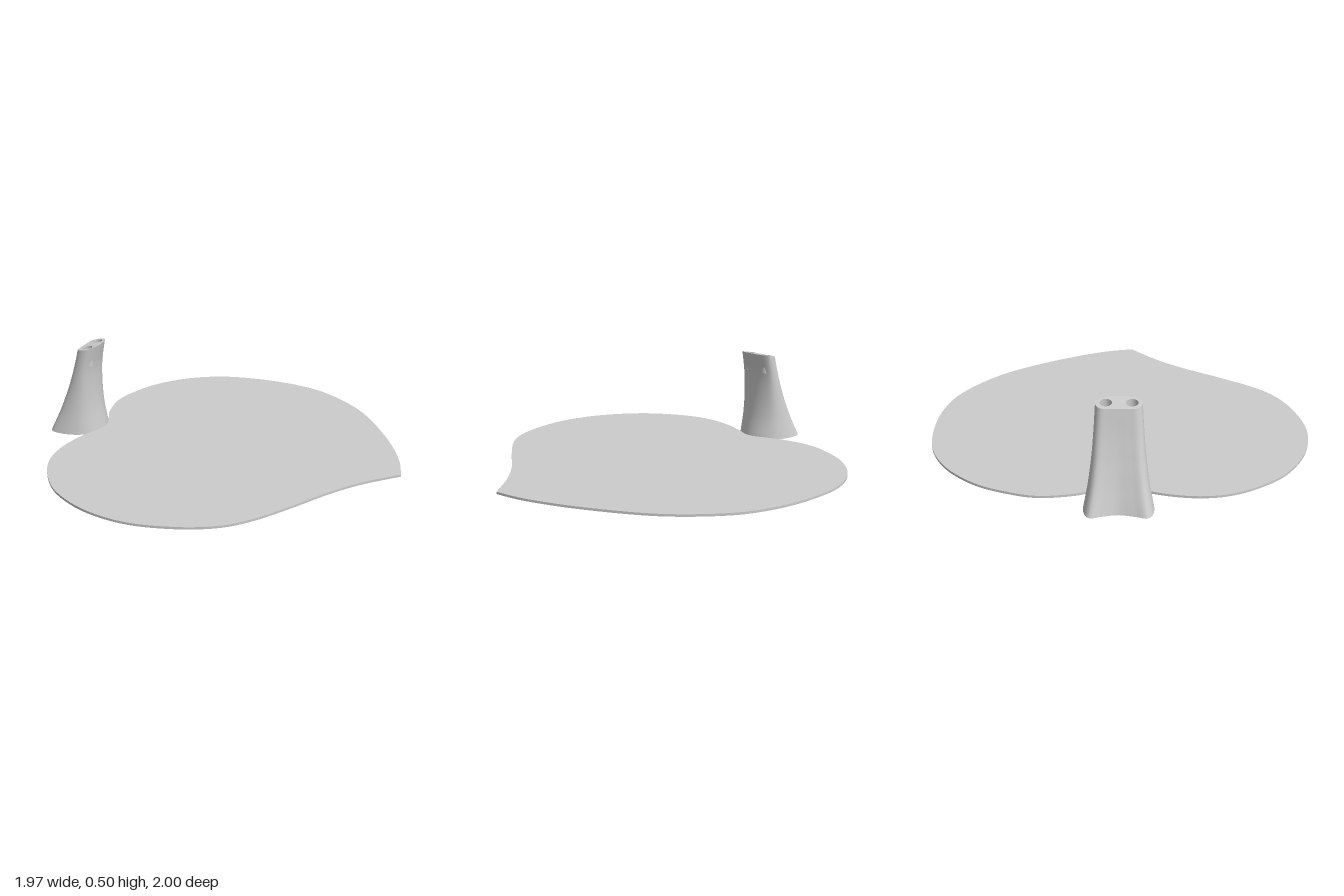
import * as THREE from 'three';

const grey = new THREE.MeshStandardMaterial({ color: 0xcccccc });
const greyDouble = new THREE.MeshStandardMaterial({ color: 0xcccccc, side: THREE.DoubleSide });

function addMesh(parent, name, geometry, material = grey) {
  const mesh = new THREE.Mesh(geometry, material);
  mesh.name = name;
  parent.add(mesh);
  return mesh;
}

const smooth = (pts, n) => new THREE.SplineCurve(pts.map(([x, y]) => new THREE.Vector2(x, y))).getPoints(n);

// Leaf outline as (x, z): from the tip round the back lobe to the notch, then round the front lobe
const backEdge = [
  [0.98, 0.06], [0.93, -0.13], [0.80, -0.40], [0.595, -0.70], [0.35, -0.90], [0.135, -0.98], [-0.10, -1.0],
  [-0.34, -0.97], [-0.54, -0.87], [-0.70, -0.70], [-0.785, -0.51], [-0.812, -0.37], [-0.79, -0.21], [-0.75, -0.11], [-0.715, 0],
];
const frontEdge = [
  [-0.715, 0], [-0.75, 0.11], [-0.79, 0.24], [-0.807, 0.385], [-0.785, 0.53], [-0.71, 0.68], [-0.58, 0.83], [-0.37, 0.95],
  [-0.13, 0.997], [0.11, 0.96], [0.295, 0.88], [0.425, 0.76], [0.56, 0.57], [0.69, 0.37], [0.82, 0.21], [0.98, 0.06],
];

function leafGeometry() {
  const outline = [...smooth(backEdge, 110), ...smooth(frontEdge, 110).slice(1, -1)];
  const shape = new THREE.Shape(outline.map((p) => new THREE.Vector2(p.x, -p.y)));
  const geo = new THREE.ExtrudeGeometry(shape, { depth: 0.012, bevelEnabled: false });
  return geo.rotateX(-Math.PI / 2);
}

// Half cross-sections of the stem: u runs from outer (0) to leaf side (1), v is the half width
const baseHalf = [[0.1, 0], [0.05, 0.45], [0, 0.82], [0.12, 0.96], [0.4, 1], [0.7, 0.86], [0.92, 0.48], [1, 0]];
const topHalf = [[0, 0], [0, 0.4], [0.02, 0.76], [0.2, 0.94], [0.48, 1], [0.72, 0.93], [0.92, 0.55], [1, 0]];

// Outer edge, leaf-side edge and half width at evenly spaced heights
const edges = new THREE.CatmullRomCurve3([
  [-0.987, -0.712, 0.166], [-0.934, -0.736, 0.143], [-0.889, -0.746, 0.127], [-0.852, -0.744, 0.117], [-0.823, -0.722, 0.11],
].map((p) => new THREE.Vector3(...p)));

const SEGMENTS = 72;
const topY = (x) => 0.48 + 0.17 * (x + 0.823);

function stemRing(t) {
  const half = baseHalf.map(([u, v], i) => [
    THREE.MathUtils.lerp(u, topHalf[i][0], t), THREE.MathUtils.lerp(v, topHalf[i][1], t),
  ]);
  const mirrored = half.slice(1, -1).reverse().map(([u, v]) => [u, -v]);
  const loop = new THREE.CatmullRomCurve3([...half, ...mirrored].map(([u, v]) => new THREE.Vector3(u, 0, v)), true);
  const e = edges.getPoint(t);
  return Array.from({ length: SEGMENTS }, (_, i) => {
    const p = loop.getPoint(i / SEGMENTS);
    return new THREE.Vector3(e.x + (e.y - e.x) * p.x, t * (0.48 + 0.0172 * p.x), e.z * p.z);
  });
}

function stemSideGeometry(rows = 24) {
  const positions = [];
  const index = [];
  for (let r = 0; r <= rows; r++) stemRing(r / rows).forEach((p) => positions.push(p.x, p.y, p.z));
  for (let r = 0; r < rows; r++) {
    for (let i = 0; i < SEGMENTS; i++) {
      const j = (i + 1) % SEGMENTS;
      const a = r * SEGMENTS;
      const b = a + SEGMENTS;
      index.push(a + i, a + j, b + j, a + i, b + j, b + i);
    }
  }
  const geo = new THREE.BufferGeometry();
  geo.setAttribute('position', new THREE.Float32BufferAttribute(positions, 3));
  geo.setIndex(index);
  geo.computeVertexNormals();
  return geo;
}

// Lift points at or above the given height onto the sloping top plane
function liftToTop(geo, minY) {
  const pos = geo.attributes.position;
  for (let i = 0; i < pos.count; i++) if (pos.getY(i) >= minY) pos.setY(i, topY(pos.getX(i)));
  geo.computeVertexNormals();
  return geo;
}

export function createModel() {
  const model = new THREE.Group();
  model.name = 'leafWithStem';
  addMesh(model, 'leafPlate', leafGeometry());

  const stem = new THREE.Group();
  stem.name = 'stem';
  model.add(stem);
  addMesh(stem, 'stemSide', stemSideGeometry());

  // Underside of the stem
  const baseShape = new THREE.Shape(stemRing(0).map((p) => new THREE.Vector2(p.x, p.z)));
  addMesh(stem, 'stemBase', new THREE.ShapeGeometry(baseShape).rotateX(Math.PI / 2));

  // Sloping top with two round sockets
  const holeX = -0.775, holeZ = 0.061, holeR = 0.029, holeDepth = 0.1;
  const topShape = new THREE.Shape(stemRing(1).map((p) => new THREE.Vector2(p.x, -p.z)));
  for (const side of [-1, 1]) {
    topShape.holes.push(new THREE.Path().absarc(holeX, side * holeZ, holeR, 0, Math.PI * 2, true));

    const floorY = topY(holeX) - holeDepth;
    const wall = new THREE.CylinderGeometry(holeR, holeR, holeDepth, 32, 1, true);
    wall.translate(holeX, floorY + holeDepth / 2, side * holeZ);
    addMesh(stem, 'socketWall', liftToTop(wall, floorY + holeDepth / 2), greyDouble);
    const floor = new THREE.CircleGeometry(holeR, 32).rotateX(-Math.PI / 2);
    addMesh(stem, 'socketFloor', floor.translate(holeX, floorY, side * holeZ));
  }
  const top = new THREE.ShapeGeometry(topShape, 32).rotateX(-Math.PI / 2);
  addMesh(stem, 'stemTop', liftToTop(top, -1));
  return model;
}
